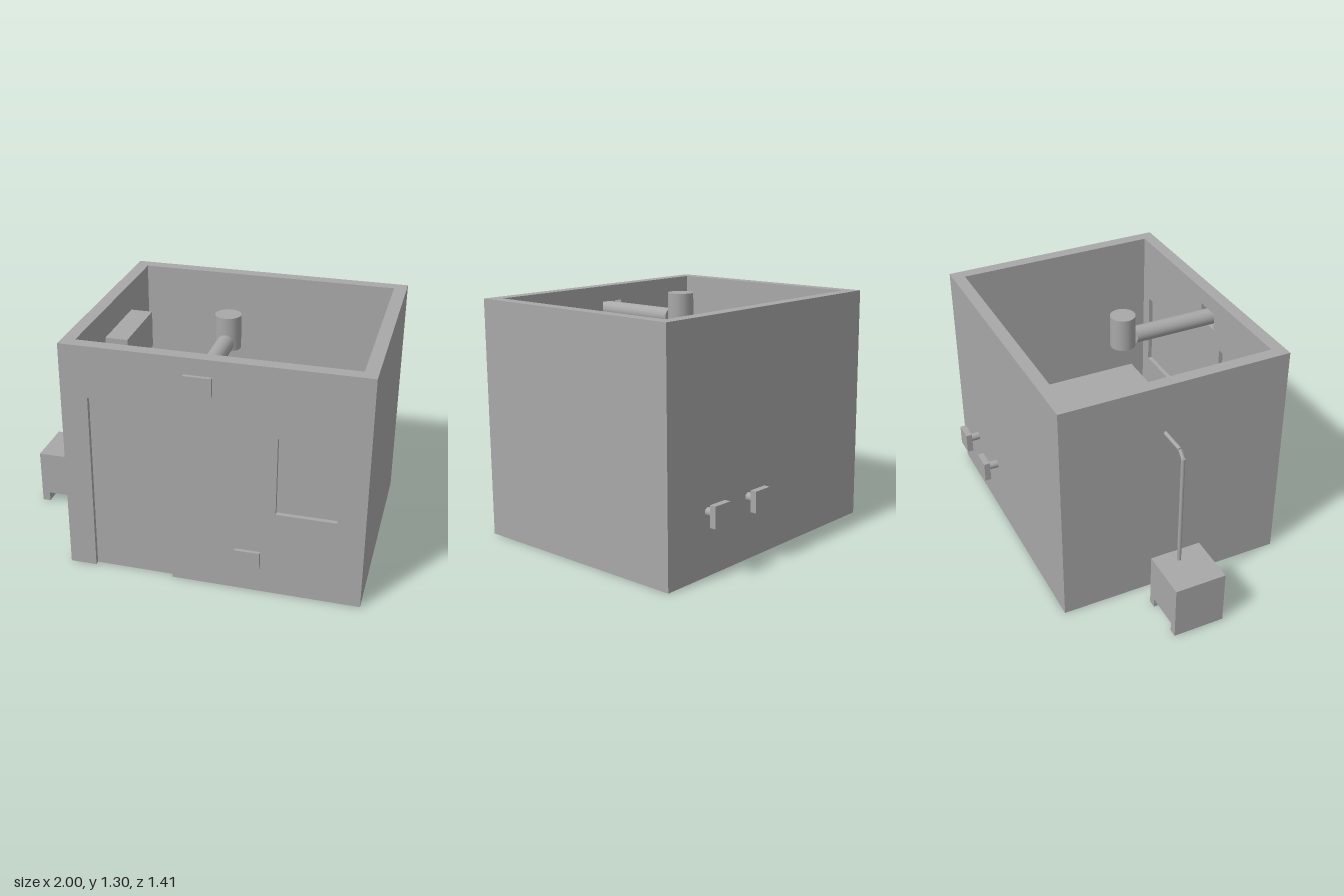
import * as THREE from 'three';

export function createModel() {
  const model = new THREE.Group();
  const grey = new THREE.MeshStandardMaterial({ color: 0xa8a8a8 });
  grey.name = 'plain grey';

  const add = (name, geometry) => {
    const mesh = new THREE.Mesh(geometry, grey);
    mesh.name = name;
    model.add(mesh);
    return mesh;
  };
  // Box given by its minimum and maximum on each axis
  const box = (name, x0, x1, y0, y1, z0, z1) =>
    add(name, new THREE.BoxGeometry(x1 - x0, y1 - y0, z1 - z0)
      .translate((x0 + x1) / 2, (y0 + y1) / 2, (z0 + z1) / 2));
  // Round bar between two points
  const bar = (name, a, b, radius, sides = 24) => {
    const from = new THREE.Vector3(...a), to = new THREE.Vector3(...b);
    const dir = to.clone().sub(from);
    const mesh = add(name, new THREE.CylinderGeometry(radius, radius, dir.length(), sides));
    mesh.position.copy(from).add(to).multiplyScalar(0.5);
    mesh.quaternion.setFromUnitVectors(new THREE.Vector3(0, 1, 0), dir.normalize());
    return mesh;
  };
  const outline = (points) => new THREE.Shape(points.map((p) => new THREE.Vector2(...p)));
  const rect = (x0, x1, y0, y1) =>
    new THREE.Path([[x0, y0], [x0, y1], [x1, y1], [x1, y0]].map((p) => new THREE.Vector2(...p)));

  // Outer shell: left, right and back walls as one U-shaped plan, open above and below
  const H = 1.3, X0 = -0.595, X1 = 1, Z0 = -0.615, Z1 = 0.685, T = 0.07;
  const ZI = Z1 - T;
  const plan = outline([[X0, -ZI], [X0 + T, -ZI], [X0 + T, -Z0 - T], [X1 - T, -Z0 - T],
    [X1 - T, -ZI], [X1, -ZI], [X1, -Z0], [X0, -Z0]]);
  add('sideAndBackWalls', new THREE.ExtrudeGeometry(plan, { depth: H, bevelEnabled: false })
    .rotateX(-Math.PI / 2));

  // Front wall with doorway, window and two vent openings
  const door = [-0.45, -0.015, 0, 1.015];
  const window_ = [0.54, 0.855, 0.485, 0.92];
  const vents = [[0.06, 0.205, 1.11, 1.21], [0.33, 0.465, 0.145, 0.245]];
  const front = outline([[X0, 0], [door[0], 0], [door[0], door[3]], [door[1], door[3]],
    [door[1], 0], [X1, 0], [X1, H], [X0, H]]);
  front.holes = [window_, ...vents].map((r) => rect(...r));
  add('frontWall', new THREE.ExtrudeGeometry(front, { depth: T, bevelEnabled: false })
    .translate(0, 0, ZI));
  box('door', ...door, 0.64, 0.66);
  box('windowPane', ...window_, 0.64, 0.66);
  vents.forEach((r) => box('ventCover', ...r, 0.665, 0.705));

  // Row of machines along the back wall
  [-0.375, -0.065, 0.25, 0.565].forEach((x) => box('machine', x, x + 0.287, 0, 0.42, -0.5, -0.19));

  // Exhaust pipes with square caps behind the back wall
  [0.395, 0.71].forEach((x) => {
    bar('exhaustPipe', [x, 0.337, -0.5], [x, 0.337, -0.68], 0.023);
    box('exhaustCap', x - 0.056, x + 0.056, 0.28, 0.395, -0.71, -0.675);
  });

  // Counter, wall cooler and bin
  box('counter', 0.635, X1 - T, 0, 0.42, -0.09, 0.53);
  box('indoorCooler', X0 + T, -0.4, 0.93, 1.14, -0.23, 0.2);
  bar('bin', [0.08, 0, 0.25], [0.08, 0.19, 0.25], 0.085, 32);

  // Ceiling fan with its duct to the upper vent
  bar('fan', [0.13, 1.115, 0.08], [0.13, H, 0.08], 0.07, 32);
  bar('fanDuct', [0.132, 1.16, 0.15], [0.132, 1.16, 0.665], 0.047);

  // Outdoor unit standing on two skids
  const unit = outline([[-1, 0], [-0.955, 0], [-0.955, 0.055], [-0.76, 0.055], [-0.76, 0],
    [-0.715, 0], [-0.715, 0.315], [-1, 0.315]]);
  add('outdoorUnit', new THREE.ExtrudeGeometry(unit, { depth: 0.29, bevelEnabled: false })
    .translate(0, 0, -0.16));

  // Bent coolant line from the unit into the wall
  const line = [[-0.785, 0.31], [-0.785, 0.98], [-0.75, 1.015], [-0.56, 1.015]];
  for (let i = 0; i < line.length - 1; i++) {
    bar('coolantLine', [...line[i], -0.03], [...line[i + 1], -0.03], 0.011, 12);
  }
  return model;
}
